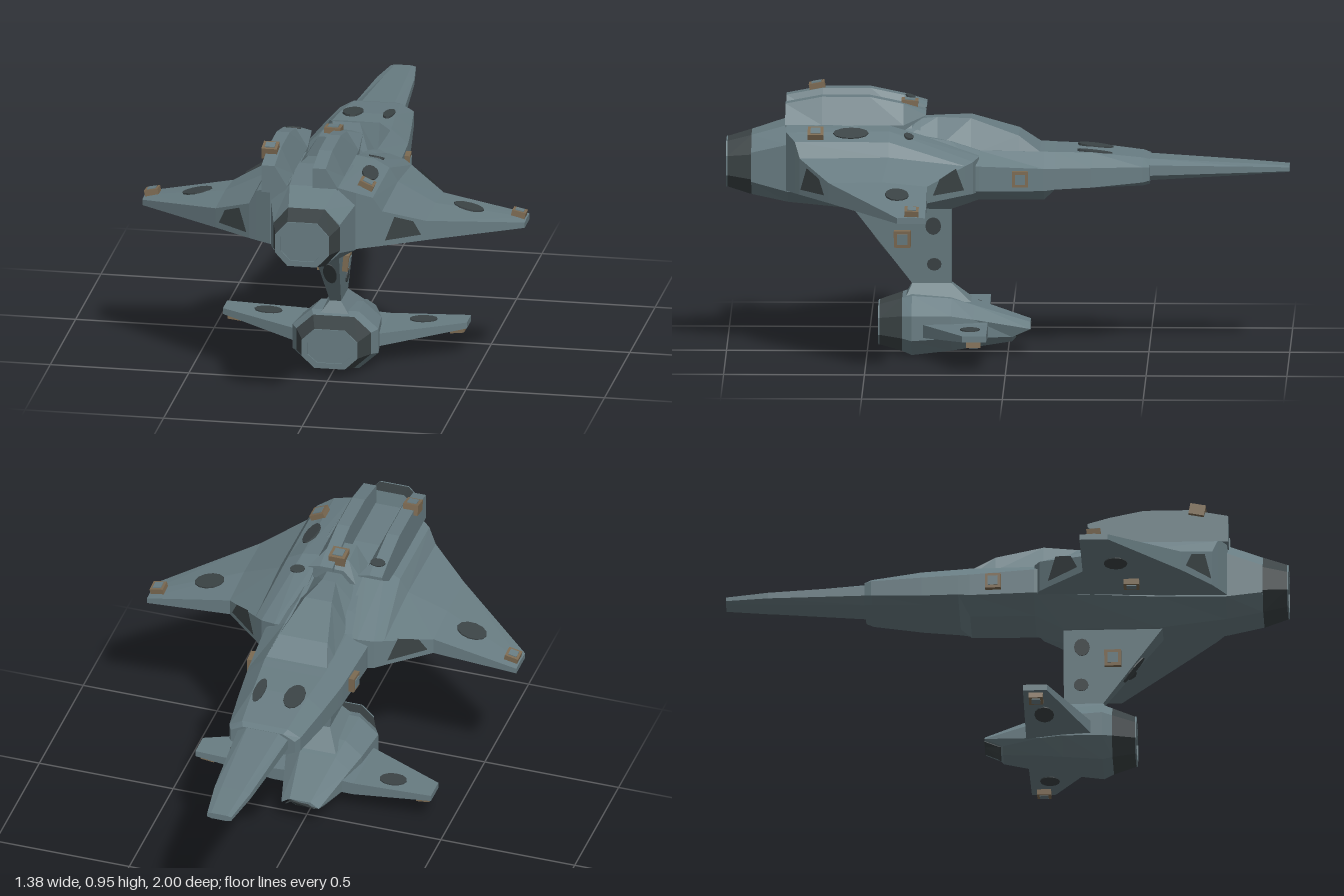
import * as THREE from 'three';

const paint = (name, color, side = THREE.FrontSide) => {
  const m = new THREE.MeshStandardMaterial({ color, side, flatShading: true });
  m.name = name;
  return m;
};

// Skin a loop of cross-sections (equal point counts); closed ends are fanned.
function loft(sections, caps = true) {
  const tris = [], n = sections[0].length;
  for (let i = 0; i < sections.length - 1; i++) {
    for (let j = 0; j < n; j++) {
      const k = (j + 1) % n, a = sections[i], b = sections[i + 1];
      tris.push([a[j], a[k], b[k]], [a[j], b[k], b[j]]);
    }
  }
  if (caps) {
    const a = sections[0], b = sections[sections.length - 1];
    for (let j = 1; j < n - 1; j++) tris.push([a[0], a[j + 1], a[j]], [b[0], b[j], b[j + 1]]);
  }
  // turn every face outward if the enclosed volume comes out negative
  let vol = 0;
  const [A, B, C] = [0, 0, 0].map(() => new THREE.Vector3());
  for (const t of tris) vol += A.set(...t[0]).dot(B.set(...t[1]).cross(C.set(...t[2])));
  const pos = tris.flatMap(t => (caps && vol < 0 ? [t[0], t[2], t[1]] : t)).flat();
  const g = new THREE.BufferGeometry();
  g.setAttribute('position', new THREE.Float32BufferAttribute(pos, 3));
  g.computeVertexNormals();
  return g;
}

// Eight-sided section: top width/height, side width and its two heights, bottom width/height
const oct = (z, wt, yt, wm, yu, yl, wb, yb, zb = z) => {
  const h = [[wt, yt, z], [wm, yu, z], [wm, yl, zb], [wb, yb, zb]];
  return [...h, ...h.slice().reverse().map(([x, y, q]) => [-x, y, q])];
};
// Regular variant from half width and vertical span
const ring = (z, hx, y0, y1, zb = z) => {
  const c = (y1 - y0) * 0.29;
  return oct(z, hx * 0.55, y1, hx, y1 - c, y0 + c, hx * 0.55, y0, zb);
};

export function createModel() {
  const hull = paint('hullGrey', 0x687c82);
  const dark = paint('darkPanel', 0x3b4345, THREE.DoubleSide);
  const bronze = paint('bronzeTrim', 0x7c6a52);
  const core = paint('engineCore', 0x5c6262);
  const model = new THREE.Group();
  model.name = 'spacecraft';
  const solids = [];
  const add = (name, geo, mat, solid = false) => {
    const m = new THREE.Mesh(geo, mat);
    m.name = name;
    model.add(m);
    if (solid) solids.push(m);
    return m;
  };
  const body = (name, sections) => add(name, loft(sections), hull, true);

  // Main fuselage and slender nose
  body('fuselage', [
    oct(0.91, 0.065, 0.79, 0.12, 0.735, 0.63, 0.065, 0.577),
    oct(0.78, 0.085, 0.83, 0.153, 0.77, 0.60, 0.07, 0.55),
    oct(0.54, 0.1, 0.83, 0.16, 0.77, 0.60, 0.06, 0.525),
    oct(0.2, 0.1, 0.775, 0.185, 0.71, 0.605, 0.06, 0.525),
    oct(0.1, 0.115, 0.745, 0.19, 0.70, 0.61, 0.09, 0.565),
    oct(-0.13, 0.115, 0.742, 0.176, 0.69, 0.61, 0.09, 0.565),
    oct(-0.17, 0.112, 0.74, 0.172, 0.69, 0.615, 0.1, 0.605),
    oct(-0.3, 0.1, 0.737, 0.157, 0.69, 0.62, 0.1, 0.61),
    oct(-0.48, 0.085, 0.717, 0.133, 0.69, 0.635, 0.09, 0.617),
    oct(-0.505, 0.075, 0.71, 0.12, 0.687, 0.64, 0.08, 0.622),
  ]);
  body('nose', [
    oct(-0.49, 0.06, 0.71, 0.095, 0.69, 0.652, 0.06, 0.63),
    oct(-0.85, 0.04, 0.69, 0.067, 0.682, 0.66, 0.04, 0.648),
    oct(-1, 0.03, 0.68, 0.045, 0.676, 0.662, 0.03, 0.657),
  ]);

  // Canopy and the raised spine behind it
  const ridge = (z, wt, yt, wb, yb) => [[-wb, yb, z], [-wt, yt, z], [wt, yt, z], [wb, yb, z]];
  body('canopy', [
    ridge(-0.115, 0.115, 0.742, 0.118, 0.72), ridge(-0.04, 0.09, 0.795, 0.12, 0.73),
    ridge(0.13, 0.05, 0.85, 0.115, 0.73), ridge(0.25, 0.025, 0.85, 0.11, 0.75),
    ridge(0.38, 0.03, 0.84, 0.1, 0.78),
  ]);
  body('spine', [
    ridge(0.31, 0.035, 0.86, 0.08, 0.81), ridge(0.34, 0.045, 0.888, 0.09, 0.82),
    ridge(0.43, 0.045, 0.895, 0.09, 0.82),
  ]);

  // Two dorsal cowls of the same shape, the second one set off to the right
  for (const [name, dx] of [['leftDorsalCowl', 0], ['rightDorsalCowl', -0.185]]) {
    body(name, [[0.79, 0.9, 0.8], [0.66, 0.925, 0.8], [0.49, 0.925, 0.8], [0.37, 0.9, 0.81], [0.29, 0.877, 0.865]]
      .map(([z, t, b]) => [[dx, b, z], [dx, t, z], [dx + 0.047, t, z],
        [dx + 0.09, Math.max(b + 0.002, 0.83), z], [dx + 0.09, b, z]]));
  }

  // Main wings: shoulder, then thin swept blade; columns are x, front z/y, mid z/y, rear z/y, base y
  const wing = [
    [0.09, 0.785, 0.83, 0.42, 0.83, 0.1, 0.735, 0.605], [0.155, 0.785, 0.815, 0.42, 0.82, 0.1, 0.73, 0.605],
    [0.21, 0.753, 0.79, 0.42, 0.79, 0.12, 0.72, 0.605], [0.24, 0.735, 0.735, 0.42, 0.74, 0.148, 0.71, 0.605],
    [0.38, 0.63, 0.672, 0.44, 0.675, 0.28, 0.66, 0.6], [0.69, 0.38, 0.6, 0.33, 0.603, 0.28, 0.6, 0.58],
  ];
  // Lower pod wings: x, front z, rear z, top y, base y
  const podWing = [[0.09, 0.33, 0.07, 0.125, 0.075], [0.15, 0.3, 0.07, 0.122, 0.075], [0.44, 0.155, 0.07, 0.132, 0.11]];
  const quad = (a, b, c, d) => {
    const g = new THREE.BufferGeometry().setAttribute('position',
      new THREE.Float32BufferAttribute([a, b, c, a, c, d].flat(), 3));
    g.computeVertexNormals();
    return g;
  };
  for (const s of [1, -1]) {
    const side = s > 0 ? 'left' : 'right';
    body(side + 'MainWing', wing.map(([x, fz, fy, mz, my, rz, ry, b]) =>
      [[s * x, b, fz], [s * x, fy, fz], [s * x, my, mz], [s * x, ry, rz], [s * x, b, rz]]));
    body(side + 'PodWing', podWing.map(([x, f, r, t, b]) =>
      [[s * x, b, f], [s * x, t, f], [s * x, t, r], [s * x, b, r]]));
    // dark vents on the leading face and on the rear diagonal face of the shoulder
    const front = x => 0.74 - (x - 0.24) * 0.75, rear = x => 0.142 + (x - 0.24) * 0.943;
    for (const [name, f] of [['FrontVent', front], ['RearVent', rear]]) {
      add(side + name, quad([s * 0.25, 0.625, f(0.25)], [s * 0.365, 0.625, f(0.365)],
        [s * 0.34, 0.68, f(0.34)], [s * 0.28, 0.708, f(0.28)]), dark);
    }
  }

  // Pylon and lower engine pod
  const slab = (y, zf, zr, hx) => [[hx, y, zf], [hx, y, zr], [-hx, y, zr], [-hx, y, zf]];
  body('pylon', [slab(0.55, 0.57, 0.2, 0.052), slab(0.25, 0.34, 0.2, 0.02), slab(0.19, 0.37, 0.13, 0.065)]);
  body('enginePod', [
    ring(0.375, 0.135, 0.015, 0.205), ring(0.34, 0.155, 0.002, 0.215), ring(0.2, 0.14, 0.017, 0.205),
    ring(0.12, 0.12, 0.028, 0.18), ring(-0.08, 0.07, 0.045, 0.115, -0.015),
  ]);
  add('podTailPanel', loft([ring(-0.075, 0.055, 0.053, 0.107, -0.02), ring(-0.082, 0.055, 0.053, 0.107, -0.027)]), dark);

  // Nozzles: dark shroud, pale lip, dark throat and a core plate
  const nozzle = (name, zb, zf, hxB, b0, b1, hx, y0, y1) => {
    const t = 0.02, ih = hx - t, i0 = y0 + t, i1 = y1 - t, back = zf - 0.075;
    add(name + 'Shroud', loft([ring(zb, hxB, b0, b1), ring(zf - 0.005, hx, y0, y1)], false), dark);
    const lip = [ring(zf - 0.005, hx, y0, y1), ring(zf, hx, y0, y1), ring(zf, ih, i0, i1), ring(zf - 0.005, ih, i0, i1)];
    const lipMesh = loft([...lip, lip[0]], true);
    add(name + 'Lip', lipMesh, hull);
    add(name + 'Throat', loft([ring(zf - 0.005, ih, i0, i1), ring(back, ih, i0, i1)], false), dark);
    add(name + 'Core', loft([ring(back, ih, i0, i1), ring(back + 0.008, ih, i0, i1)]), core);
  };
  nozzle('mainNozzle', 0.91, 1, 0.12, 0.577, 0.79, 0.097, 0.602, 0.766);
  nozzle('podNozzle', 0.375, 0.46, 0.135, 0.015, 0.205, 0.1, 0.035, 0.18);

  // Surface details are dropped along a direction onto whichever part they meet
  model.updateMatrixWorld(true);
  const caster = new THREE.Raycaster();
  const settle = (mesh, from, dir) => {
    caster.set(new THREE.Vector3(...from), new THREE.Vector3(...dir));
    const hit = caster.intersectObjects(solids, false)[0];
    if (!hit) { model.remove(mesh); return; }
    const n = hit.face.normal.clone();
    const t = new THREE.Vector3(...(Math.abs(n.z) > 0.9 ? [0, 1, 0] : [0, 0, 1]));
    t.addScaledVector(n, -t.dot(n)).normalize();
    mesh.quaternion.setFromRotationMatrix(new THREE.Matrix4().makeBasis(n.clone().cross(t), n, t));
    mesh.position.copy(hit.point);
  };
  const patch = (from, dir, across, along) =>
    settle(add('darkPatch', new THREE.CylinderGeometry(1, 1, 0.008, 12).scale(across, 1, along), dark), from, dir);
  const port = (from, dir, size = 0.056) => {
    const m = add('sensorBox', new THREE.BoxGeometry(size, 0.04, size), bronze);
    const lid = new THREE.Mesh(new THREE.BoxGeometry(size * 0.62, 0.004, size * 0.62), hull);
    lid.name = 'sensorLid';
    lid.position.y = 0.021;
    m.add(lid);
    settle(m, from, dir);
  };
  const down = [0, -1, 0], up = [0, 1, 0];
  patch([-0.055, 2, -0.31], down, 0.037, 0.063);
  patch([0.075, 2, -0.31], down, 0.02, 0.063);
  port([-0.005, 2, 0.35], down, 0.06);
  patch([0, 0.39, 2], [0, 0, -1], 0.024, 0.06);
  for (const s of [1, -1]) {
    const inward = [-s, 0, 0];
    // upper surfaces
    patch([s * 0.49, 2, 0.385], down, 0.055, 0.042);
    port([s * 0.66, 2, 0.33], down, 0.05);
    port([s * 0.172, 2, 0.68], down);
    patch([s * 0.15, 2, 0.35], down, 0.028, 0.018);
    patch([s * 0.28, 0.4, 0.13], down, 0.05, 0.035);
    // undersides
    port([s * 0.28, 0.4, 0.45], up);
    patch([s * 0.46, -1, 0.4], up, 0.055, 0.042);
    port([s * 0.4, -1, 0.115], up, 0.05);
    patch([s * 0.28, -1, 0.14], up, 0.05, 0.035);
    // flanks and pylon
    port([s * 2, 0.655, -0.045], inward);
    port([s * 2, 0.415, 0.375], inward, 0.06);
    patch([s * 2, 0.46, 0.265], inward, 0.032, 0.028);
    patch([s * 2, 0.32, 0.262], inward, 0.023, 0.026);
  }
  patch([0.165, 2, 0.555], down, 0.03, 0.063);
  return model;
}
